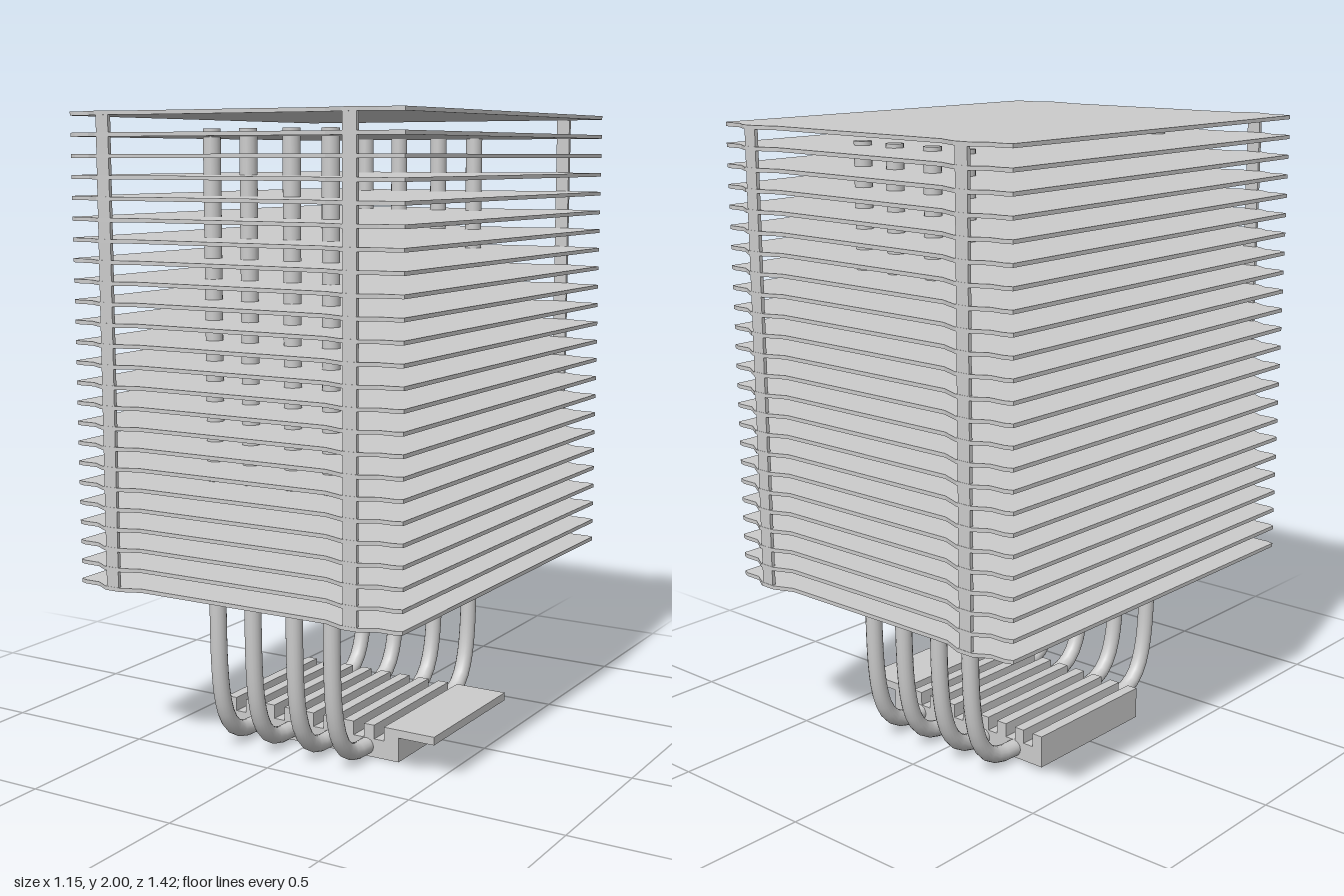
import * as THREE from 'three';

const material = new THREE.MeshStandardMaterial({ color: 0xcccccc });

function add(parent, name, geometry, x = 0, y = 0, z = 0) {
  const mesh = new THREE.Mesh(geometry, material);
  mesh.name = name;
  mesh.position.set(x, y, z);
  parent.add(mesh);
  return mesh;
}

function box(parent, name, x0, x1, y0, y1, z0, z1) {
  return add(parent, name, new THREE.BoxGeometry(x1 - x0, y1 - y0, z1 - z0),
    (x0 + x1) / 2, (y0 + y1) / 2, (z0 + z1) / 2);
}

// Fin outline: a rectangle with a raised tab near each corner
function finGeometry(thickness) {
  const quarter = [[0.33, 0.685], [0.395, 0.711], [0.45, 0.711], [0.497, 0.683], [0.55, 0.683], [0.573, 0.674]];
  const mirrored = (sx, sy) => quarter.map(([x, y]) => new THREE.Vector2(x * sx, y * sy));
  const outline = [
    ...mirrored(1, -1), ...mirrored(1, 1).reverse(),
    ...mirrored(-1, 1), ...mirrored(-1, -1).reverse(),
  ];
  const geometry = new THREE.ExtrudeGeometry(new THREE.Shape(outline), { depth: thickness, bevelEnabled: false });
  return geometry.rotateX(-Math.PI / 2);
}

// U-shaped pipe with soft bends, running under the fins through the base
function pipePath(x) {
  const v = (y, z) => new THREE.Vector3(x, y, z);
  const low = 0.033, side = 0.456;
  const path = new THREE.CurvePath();
  path.add(new THREE.LineCurve3(v(1.95, side), v(0.5, side)));
  path.add(new THREE.CubicBezierCurve3(v(0.5, side), v(0.2, side), v(low, 0.45), v(low, 0.28)));
  path.add(new THREE.LineCurve3(v(low, 0.28), v(low, -0.28)));
  path.add(new THREE.CubicBezierCurve3(v(low, -0.28), v(low, -0.45), v(0.2, -side), v(0.5, -side)));
  path.add(new THREE.LineCurve3(v(0.5, -side), v(1.95, -side)));
  return path;
}

export function createModel() {
  const model = new THREE.Group();
  model.name = 'towerCooler';

  // Stack of thin fins
  const fins = new THREE.Group();
  fins.name = 'fins';
  model.add(fins);
  const count = 24, thickness = 0.012, bottom = 0.555, top = 2;
  const fin = finGeometry(thickness);
  for (let i = 0; i < count; i++) {
    add(fins, 'fin', fin, 0, bottom + (top - thickness - bottom) * i / (count - 1), 0);
  }

  // Upright strips joining the fin tabs
  for (const sx of [-1, 1]) {
    for (const sz of [-1, 1]) {
      const strip = new THREE.BoxGeometry(0.045, top - bottom - 0.002, 0.012);
      add(model, 'finStrip', strip, sx * 0.4225, (top + bottom) / 2, sz * 0.704);
    }
  }

  // Heat pipes with closed ends
  const radius = 0.027;
  for (const x of [-0.21, -0.078, 0.074, 0.208]) {
    const pipe = new THREE.Group();
    pipe.name = 'heatPipe';
    model.add(pipe);
    add(pipe, 'pipeTube', new THREE.TubeGeometry(pipePath(x), 120, radius, 16, false));
    for (const sz of [-1, 1]) {
      add(pipe, 'pipeCap', new THREE.CircleGeometry(radius, 16).rotateX(-Math.PI / 2), x, 1.95, sz * 0.456);
    }
  }

  // Ribbed base block with a side plate
  const base = new THREE.Group();
  base.name = 'base';
  model.add(base);
  const depth = 0.25;
  box(base, 'baseBlock', -0.325, 0.325, 0, 0.06, -depth, depth);
  for (let i = 0; i < 8; i++) {
    const x = -0.325 + 0.075 * i;
    box(base, 'baseRib', x, x + 0.037, 0.055, 0.105, -depth, depth);
  }
  box(base, 'plateSupport', 0.272, 0.325, 0.055, 0.085, -depth, depth);
  box(base, 'sidePlate', 0.272, 0.45, 0.079, 0.105, -depth, depth);

  return model;
}
